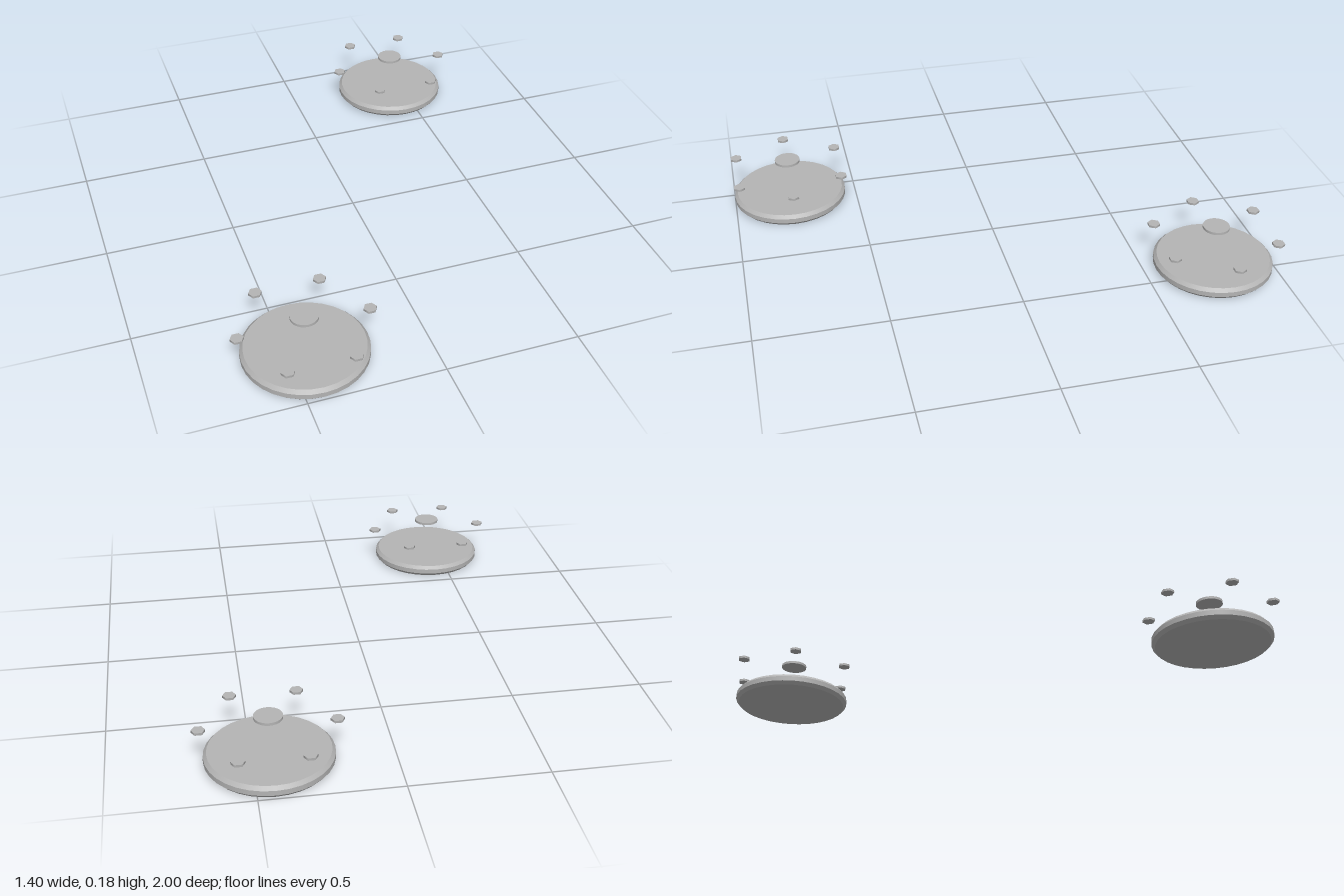
import * as THREE from 'three';

const metal = new THREE.MeshStandardMaterial({ color: 0xb4b4b4 });
metal.name = 'grey metal';

function addCylinder(parent, name, rTop, rBottom, y0, y1, sides, open = false) {
  const geometry = new THREE.CylinderGeometry(rTop, rBottom, y1 - y0, sides, 1, open, Math.PI / 2);
  const mesh = new THREE.Mesh(geometry, metal);
  mesh.name = name;
  mesh.position.y = (y0 + y1) / 2;
  parent.add(mesh);
  return mesh;
}

// One round plate with its floating centre cap and ring of hex bolts
function createFoot(x, z) {
  const foot = new THREE.Group();
  foot.name = 'foot';
  foot.position.set(x, 0, z);

  // Plate: chamfered rim between a flat top and a flat underside
  const rim = 0.229, face = 0.217, sides = 32;
  const levels = [[0, face], [0.013, rim], [0.032, rim], [0.045, face]];
  const plate = new THREE.Group();
  plate.name = 'plate';
  foot.add(plate);
  for (let i = 0; i < 3; i++) {
    const [y0, r0] = levels[i], [y1, r1] = levels[i + 1];
    addCylinder(plate, ['lowerChamfer', 'rim', 'upperChamfer'][i], r1, r0, y0, y1, sides, true);
  }
  for (const side of [1, -1]) {
    const disc = new THREE.Mesh(new THREE.CircleGeometry(face, sides), metal);
    disc.name = side > 0 ? 'plateTop' : 'plateUnderside';
    disc.rotation.x = -side * Math.PI / 2;
    disc.position.y = side > 0 ? 0.045 : 0;
    plate.add(disc);
  }

  // Centre cap
  addCylinder(foot, 'centreCap', 0.051, 0.051, 0.171, 0.181, 24);

  // Hex bolts
  for (let i = 0; i < 6; i++) {
    const a = i * Math.PI / 3;
    const bolt = addCylinder(foot, 'bolt', 0.0245, 0.0245, 0.138, 0.147, 6);
    bolt.position.x = 0.238 * Math.cos(a);
    bolt.position.z = 0.238 * Math.sin(a);
  }
  return foot;
}

export function createModel() {
  const model = new THREE.Group();
  model.name = 'feet';
  model.add(createFoot(0.438, -0.771), createFoot(-0.438, 0.771));
  return model;
}
